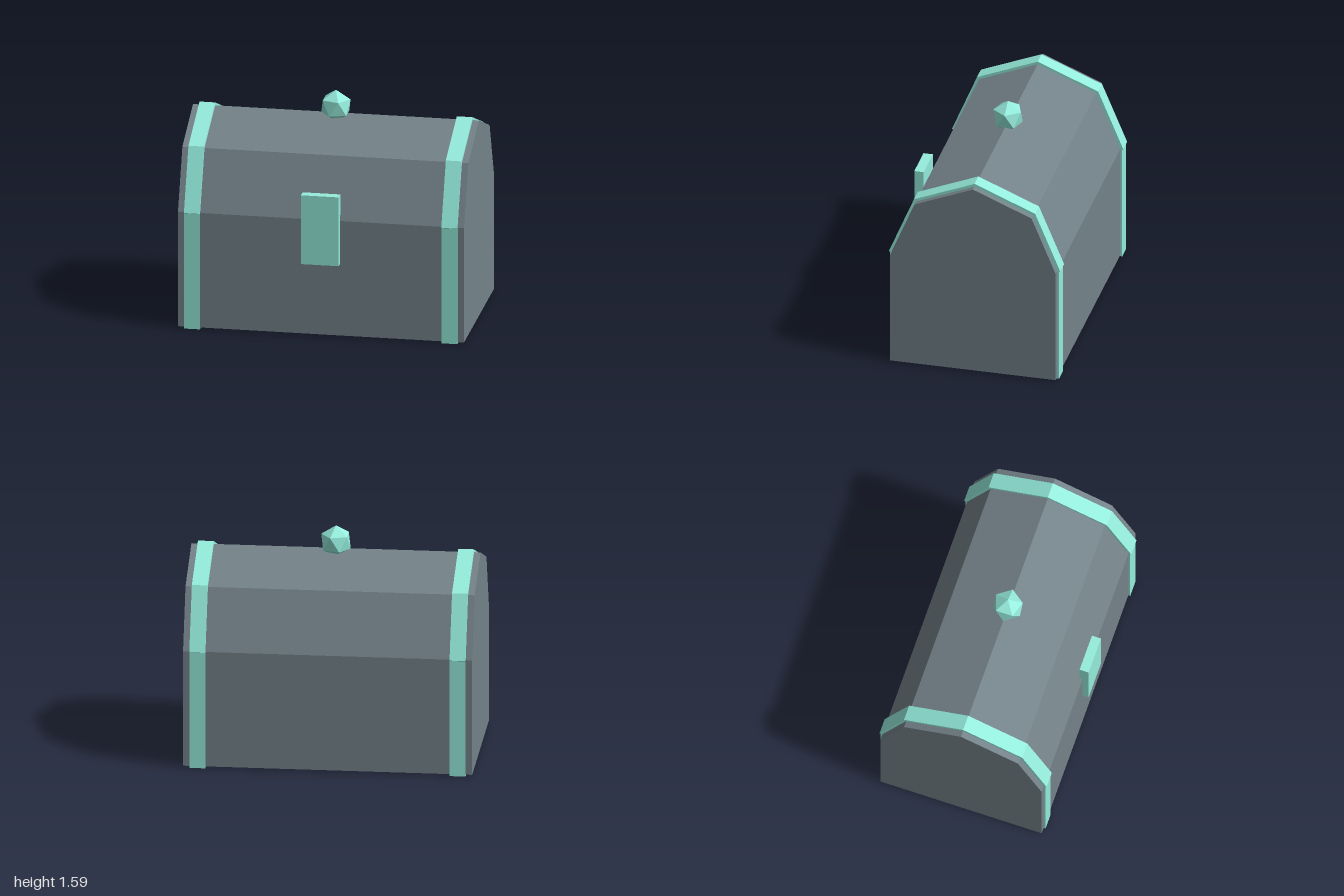
import * as THREE from 'three';

const CENTER_Z = -0.012;
const SPRING_Y = 0.842; // height where the arched lid begins

// Arched chest cross-section: straight walls topped by a four-sided half round
function archShape(bottom, wall, radius) {
  const shape = new THREE.Shape();
  shape.moveTo(-wall, bottom);
  shape.lineTo(wall, bottom);
  if (wall !== radius) shape.lineTo(wall, SPRING_Y - 0.005);
  for (let i = 0; i <= 4; i++) {
    const a = (i * Math.PI) / 4;
    shape.lineTo(radius * Math.cos(a), SPRING_Y + radius * Math.sin(a));
  }
  if (wall !== radius) shape.lineTo(-wall, SPRING_Y - 0.005);
  shape.closePath();
  return shape;
}

// Cross-section extruded along x, centred on the given x
function archGeometry(shape, width, x) {
  const geo = new THREE.ExtrudeGeometry(shape, { depth: width, bevelEnabled: false });
  geo.translate(0, 0, -width / 2);
  geo.rotateY(Math.PI / 2);
  geo.translate(x, 0, CENTER_Z);
  return geo;
}

export function createModel() {
  const chest = new THREE.Group();
  chest.name = 'chest';
  const slate = new THREE.MeshStandardMaterial({ color: 0x74838a, flatShading: true });
  const aqua = new THREE.MeshStandardMaterial({ color: 0x95eddd, flatShading: true });

  const add = (name, geometry, material) => {
    const mesh = new THREE.Mesh(geometry, material);
    mesh.name = name;
    chest.add(mesh);
    return mesh;
  };

  // Body with arched lid
  add('body', archGeometry(archShape(0.01, 0.587, 0.587), 2, 0), slate);

  // Bands wrapping the chest near each end
  for (const [name, side] of [['leftBand', 1], ['rightBand', -1]]) {
    add(name, archGeometry(archShape(0, 0.6, 0.608), 0.11, side * 0.9), aqua);
  }

  // Latch plate on the front
  add('latch', new THREE.BoxGeometry(0.264, 0.5, 0.066), aqua).position.set(0, 0.778, 0.587);

  // Faceted knob on the ridge, one corner pointing straight up
  const knob = new THREE.IcosahedronGeometry(0.114, 0);
  knob.rotateZ(-Math.atan(2 / (1 + Math.sqrt(5))));
  add('knob', knob, aqua).position.set(0, 1.478, CENTER_Z);

  return chest;
}
